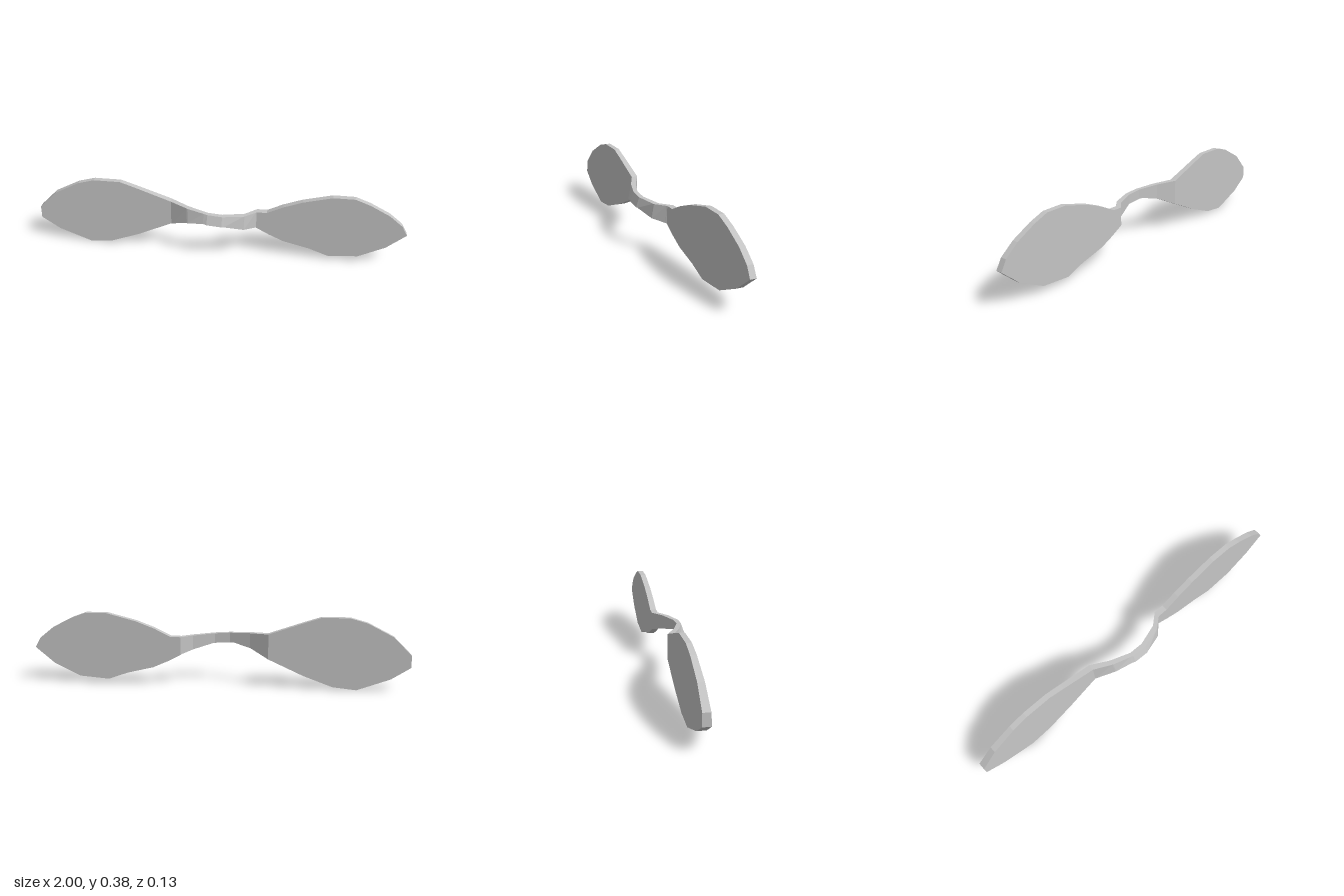
import * as THREE from 'three';

// Outline edges as [x, y], left tip to right tip
const topEdge = [[-1, .195], [-.905, .29], [-.77, .36], [-.68, .385], [-.535, .385], [-.445, .355],
  [-.26, .29], [0, .27], [.14, .262], [.26, .265], [.345, .307], [.445, .345], [.6, .385],
  [.715, .385], [.795, .355], [.9, .3], [.97, .243], [1, .19]];
const bottomEdge = [[-1, .13], [-.9, .065], [-.725, 0], [-.6, .013], [-.445, .07], [-.26, .155],
  [-.165, .2], [-.07, .222], [.04, .215], [.2, .17], [.275, .13], [.355, .094], [.495, .06],
  [.6, .022], [.76, .035], [.9, .105], [1, .19]];

// Bend of the bar: [x, back z, front z at y = 0.24, slope of front z over y]
const bend = [[-1, -.067, -.031, -.055], [-.26, -.067, -.031, -.055], [-.16, -.015, .022, -.2],
  [-.05, .022, .057, -.35], [.03, .022, .057, -.35], [.145, -.015, .018, -.15],
  [.205, -.067, -.033, -.02], [1, -.067, -.035, -.02]];

// Linear interpolation of column c in a table sorted by x
function at(table, x, c = 1) {
  let i = 1;
  while (i < table.length - 1 && table[i][0] < x) i++;
  const a = table[i - 1], b = table[i];
  return a[c] + (b[c] - a[c]) * (x - a[0]) / (b[0] - a[0]);
}

// Four corners of the section at x: front bottom, front top, back top, back bottom
function section(x) {
  const yb = at(bottomEdge, x), yt = at(topEdge, x), back = at(bend, x, 1);
  const front = y => at(bend, x, 2) + at(bend, x, 3) * (y - .24);
  return [[x, yb, front(yb)], [x, yt, front(yt)], [x, yt, back], [x, yb, back]];
}

// Skin the sections between x0 and x1, with an optional cap at each tip
function skin(x0, x1) {
  const xs = [...new Set([topEdge, bottomEdge, bend].flat().map(p => p[0]))]
    .filter(x => x >= x0 && x <= x1).sort((a, b) => a - b);
  const pos = [];
  const quad = (a, b, c, d) => pos.push(...a, ...b, ...c, ...a, ...c, ...d);
  const rings = xs.map(section);
  for (let i = 0; i < rings.length - 1; i++) {
    const a = rings[i], b = rings[i + 1];
    for (let j = 0; j < 4; j++) {
      const k = (j + 1) % 4;
      quad(a[j], b[j], b[k], a[k]);
    }
  }
  if (x0 === -1) quad(...rings[0]);
  const g = new THREE.BufferGeometry();
  g.setAttribute('position', new THREE.Float32BufferAttribute(pos, 3));
  g.computeVertexNormals();
  return g;
}

export function createModel() {
  const group = new THREE.Group();
  group.name = 'twoBladedPaddle';
  const grey = new THREE.MeshStandardMaterial({ color: 0xc4c4c4, flatShading: true });
  grey.name = 'light grey';
  const parts = [['rightBlade', -1, -.26], ['bentBridge', -.26, .205], ['leftBlade', .205, 1]];
  for (const [name, x0, x1] of parts) {
    const mesh = new THREE.Mesh(skin(x0, x1), grey);
    mesh.name = name;
    group.add(mesh);
  }
  return group;
}
